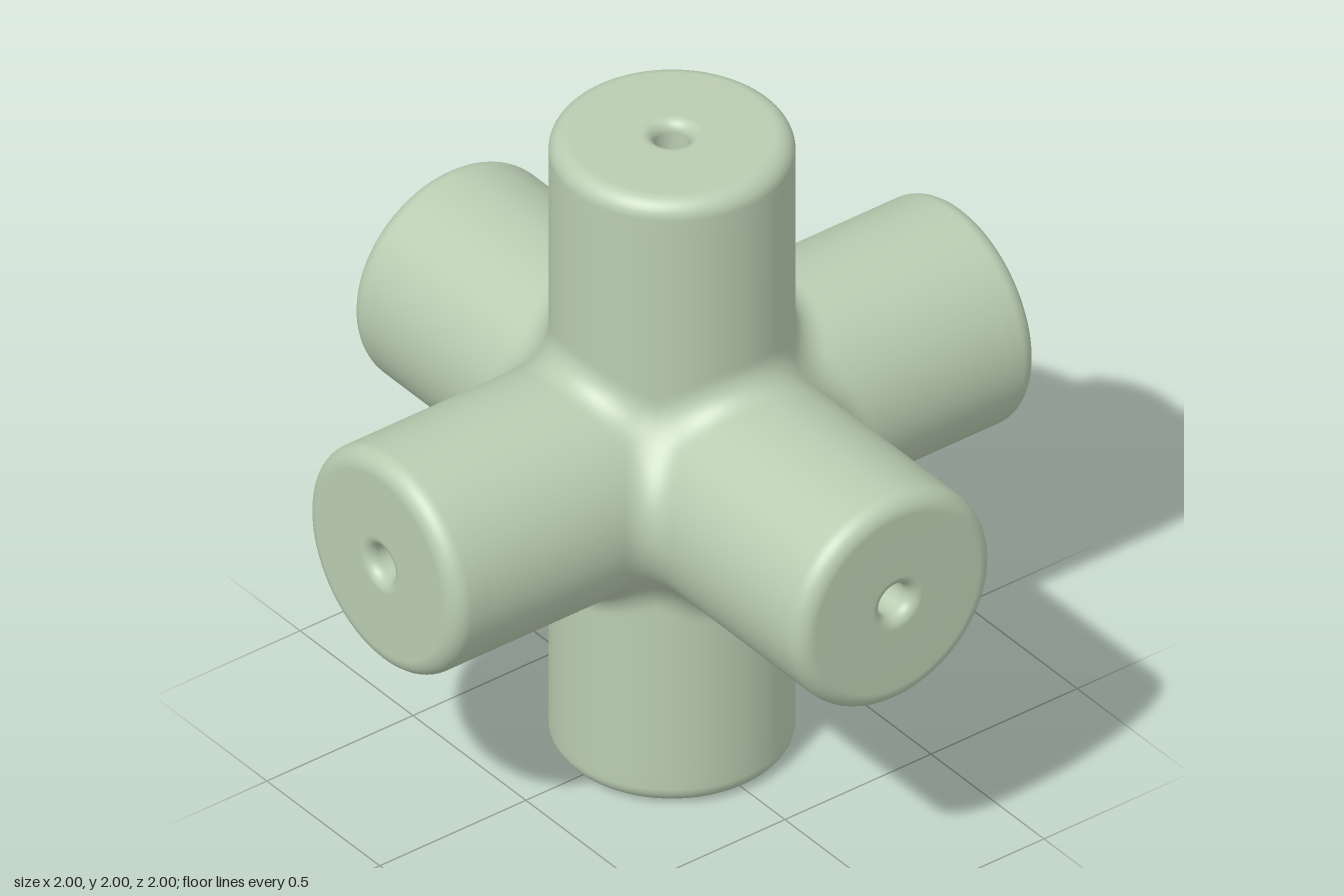
import * as THREE from 'three';
import { mergeGeometries, mergeVertices } from 'three/addons/utils/BufferGeometryUtils.js';

const R = 0.335;      // arm radius
const FILLET = 0.08;  // blend radius where arms meet
const CAP = 0.9;      // height at which the rounded end begins
const SIDES = 96;
const ROWS = 28;

// Rounded union of three crossed cylinders: negative inside, positive outside
function field(x, y, z) {
  const gap = (a, b) => Math.max(FILLET - (Math.hypot(a, b) - R), 0);
  return FILLET - Math.hypot(gap(x, y), gap(y, z), gap(z, x));
}

function solve(f) {
  let lo = 0, hi = 1;
  for (let i = 0; i < 40; i++) {
    const mid = (lo + hi) / 2;
    if (f(mid) < 0) lo = mid; else hi = mid;
  }
  return lo;
}

// One arm wall along +y, from its mitre with the neighbouring arms to the cap
function armWall() {
  const pos = [], index = [];
  for (let i = 0; i <= ROWS; i++) {
    for (let j = 0; j <= SIDES; j++) {
      const t = (j / SIDES) * Math.PI * 2, s = Math.sin(t), c = Math.cos(t);
      const m = Math.max(Math.abs(s), Math.abs(c));
      const seam = solve(r => field(r * s, r * m, r * c)) * m;
      const h = seam + (CAP - seam) * Math.pow(i / ROWS, 2);
      const r = solve(q => field(q * s, h, q * c));
      pos.push(r * s, h, r * c);
      if (i < ROWS && j < SIDES) {
        const a = i * (SIDES + 1) + j, d = a + SIDES + 1;
        index.push(a, a + 1, d + 1, a, d + 1, d);
      }
    }
  }
  const g = new THREE.BufferGeometry();
  g.setAttribute('position', new THREE.Float32BufferAttribute(pos, 3));
  g.setIndex(index);
  return g;
}

// Rounded end with a softened, round-bottomed hole in the middle
function endCap() {
  const p = [new THREE.Vector2(R, CAP)];
  const arc = (cx, cy, rad, from, to, n = 8) => {
    for (let i = 0; i <= n; i++) {
      const a = from + ((to - from) * i) / n;
      p.push(new THREE.Vector2(Math.max(cx + rad * Math.cos(a), 0), cy + rad * Math.sin(a)));
    }
  };
  const q = Math.PI / 2;
  arc(R - 0.055, 0.945, 0.055, 0, q);      // outer edge
  p.push(new THREE.Vector2(0.18, 1));      // flat face
  arc(0.085, 0.965, 0.035, q, 2 * q);      // hole lip
  arc(0, 0.85, 0.05, 0, -q);               // hole bottom
  return new THREE.LatheGeometry(p, SIDES);
}

export function createModel() {
  const model = new THREE.Group();
  model.name = 'sixWayJoint';
  const paint = new THREE.MeshStandardMaterial({ color: 0xb9ccb1 });
  paint.name = 'sage green';

  const q = Math.PI / 2;
  const arms = [
    ['topArm', 0, 0], ['bottomArm', Math.PI, 0],
    ['frontArm', q, 0], ['backArm', -q, 0],
    ['leftArm', 0, -q], ['rightArm', 0, q],
  ];
  const wall = armWall(), cap = endCap(), walls = [];
  for (const [name, rx, rz] of arms) {
    const turn = new THREE.Matrix4().makeRotationFromEuler(new THREE.Euler(rx, 0, rz));
    walls.push(wall.clone().applyMatrix4(turn));
    const end = new THREE.Mesh(cap, paint);
    end.name = name + 'End';
    end.rotation.set(rx, 0, rz);
    end.position.y = 1;
    model.add(end);
  }

  // Welded walls so the blends shade smoothly across the mitres
  const body = mergeVertices(mergeGeometries(walls), 1e-4);
  body.computeVertexNormals();
  const hub = new THREE.Mesh(body, paint);
  hub.name = 'crossedArms';
  hub.position.y = 1;
  model.add(hub);
  return model;
}
